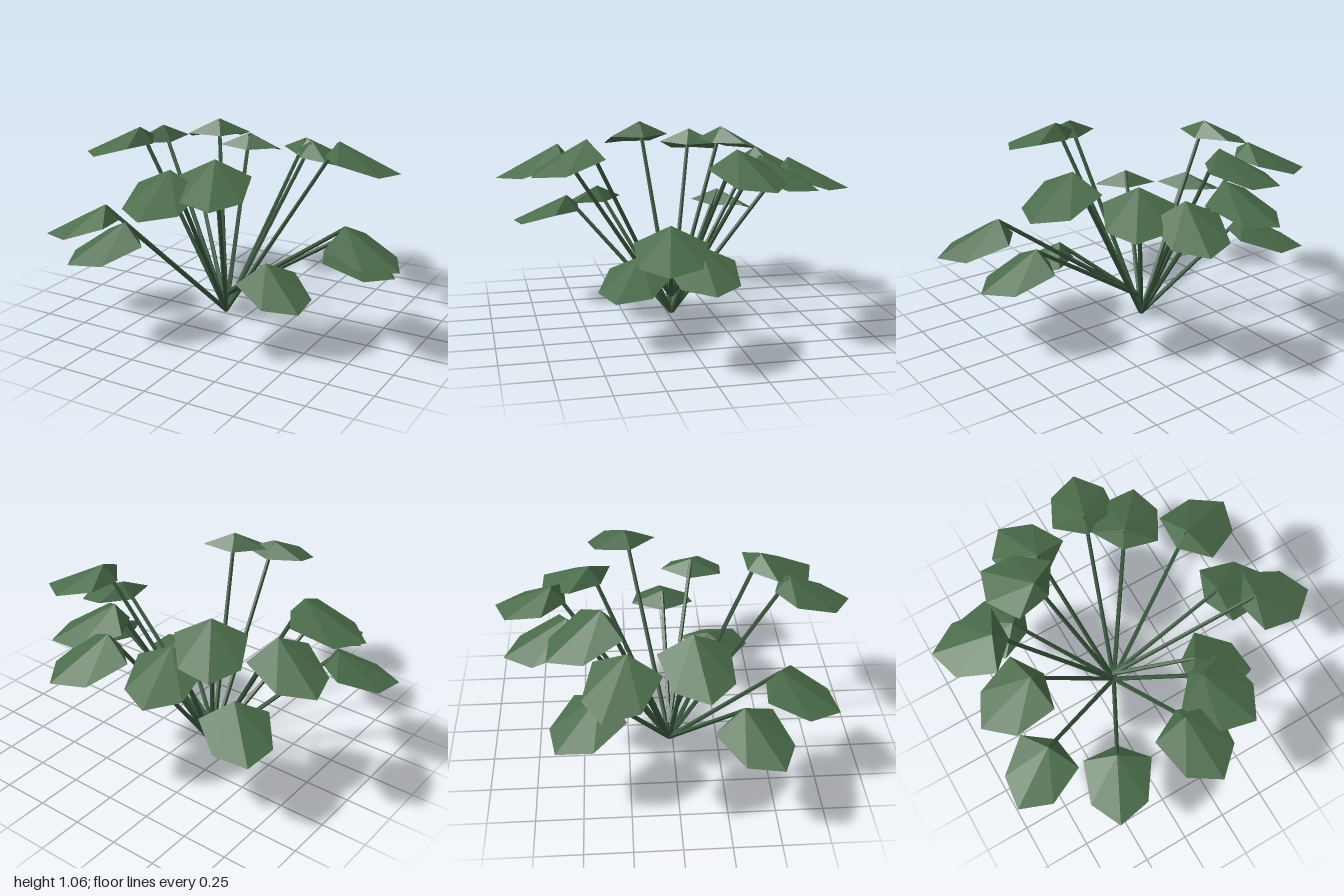
import * as THREE from 'three';

const leafGreen = new THREE.MeshStandardMaterial({ color: 0x4a6c4a, flatShading: true, side: THREE.DoubleSide });
leafGreen.name = 'leaf green';
const stemGreen = new THREE.MeshStandardMaterial({ color: 0x3c5a40, flatShading: true });
stemGreen.name = 'stem green';

// Where all stems meet
const CX = -0.13, CZ = -0.02;

// One leaf: stem direction (dx, dz), distance and height of its peak, height of the stem's foot
const LEAVES = [
  [0.30, -0.954, 0.645, 0.92, 0.02],
  [0.62, -0.785, 0.526, 0.96, 0.02],
  [0.94, -0.341, 0.62, 1.035, 0.02],
  [1.0, 0.0, 0.68, 0.57, 0.12],
  [0.976, 0.217, 0.82, 0.71, 0.12],
  [0.842, 0.54, 0.459, 0.455, 0.12],
  [0.425, 0.904, 0.557, 1.06, 0.02],
  [0.093, 0.995, 0.64, 1.015, 0.02],
  [-0.456, 0.89, 0.626, 0.663, 0.02],
  [-0.861, 0.508, 0.665, 0.655, 0.02],
  [-0.985, 0.172, 0.506, 1.05, 0.02],
  [-0.923, -0.384, 0.60, 0.99, 0.02],
  [-0.737, -0.676, 0.55, 0.64, 0.02],
  [-0.57, -0.82, 0.426, 1.04, 0.02],
  [-0.255, -0.967, 0.545, 0.93, 0.02],
];

// Drooping six-sided blade fanned around its peak; +x points to the tip
function bladeGeometry() {
  const ring = [
    [0.335, -0.168, 0], [0.22, -0.155, 0.15], [0, -0.085, 0.18],
    [-0.075, -0.09, 0], [0, -0.085, -0.18], [0.22, -0.155, -0.15],
  ];
  const pos = [];
  ring.forEach((p, i) => pos.push(0, 0, 0, ...ring[(i + 1) % ring.length], ...p));
  const g = new THREE.BufferGeometry();
  g.setAttribute('position', new THREE.Float32BufferAttribute(pos, 3));
  g.computeVertexNormals();
  return g;
}

// Straight five-sided stem between two points
function makeStem(from, to) {
  const dir = to.clone().sub(from);
  const stem = new THREE.Mesh(new THREE.CylinderGeometry(0.011, 0.014, dir.length(), 5), stemGreen);
  stem.position.copy(from).add(to).multiplyScalar(0.5);
  stem.quaternion.setFromUnitVectors(new THREE.Vector3(0, 1, 0), dir.normalize());
  stem.name = 'stem';
  return stem;
}

export function createModel() {
  const plant = new THREE.Group();
  plant.name = 'plant';
  const blade = bladeGeometry();
  for (const [dx, dz, r, y, foot] of LEAVES) {
    const stalk = new THREE.Group();
    stalk.name = 'leafStalk';
    const peak = new THREE.Vector3(CX + dx * r, y, CZ + dz * r);

    const leaf = new THREE.Mesh(blade, leafGreen);
    leaf.name = 'leaf';
    leaf.position.copy(peak);
    leaf.rotation.y = -Math.atan2(dz, dx);

    const top = peak.clone();
    top.y -= 0.012;
    stalk.add(leaf, makeStem(new THREE.Vector3(CX, foot - 0.01, CZ), top));
    plant.add(stalk);
  }
  return plant;
}
